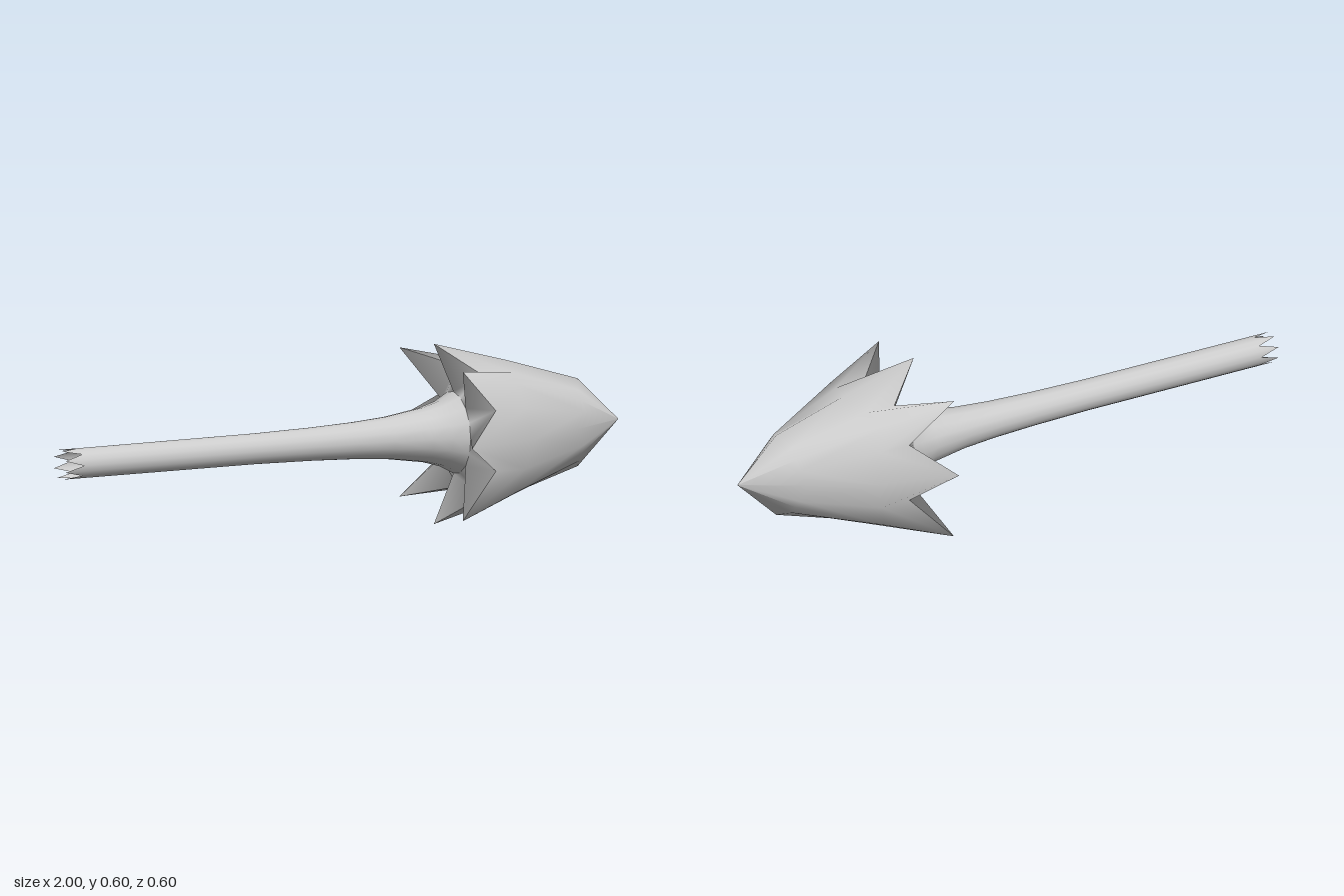
import * as THREE from 'three';

const SIDES = 16;
const AXIS_Y = 0.3;

// A closed loop of 16 points around the long axis; fn(i) gives [x, radius].
// Odd points sit at the slightly squared-off angle used by the head.
function loop(fn, squared = false) {
  const points = [];
  for (let i = 0; i < SIDES; i++) {
    const quarter = Math.floor(i / 4) * Math.PI / 2;
    const lean = squared ? Math.atan2(0.1, 0.2) : Math.PI / 8;
    const angle = quarter + [0, lean, Math.PI / 4, Math.PI / 2 - lean][i % 4];
    const [x, r] = fn(i);
    points.push(new THREE.Vector3(x, r * Math.cos(angle), r * Math.sin(angle)));
  }
  return points;
}

// Skin a list of loops, ordered from the butt towards the point.
function skin(loops) {
  const positions = loops.flatMap(l => l.flatMap(p => p.toArray()));
  const index = [];
  for (let k = 0; k < loops.length - 1; k++) {
    for (let i = 0; i < SIDES; i++) {
      const j = (i + 1) % SIDES;
      const a = k * SIDES + i, b = k * SIDES + j;
      const c = a + SIDES, d = b + SIDES;
      // mirror the diagonal so every spike is symmetrical
      if (i % 2) index.push(a, b, c, b, d, c);
      else index.push(a, b, d, a, d, c);
    }
  }
  const geometry = new THREE.BufferGeometry();
  geometry.setAttribute('position', new THREE.Float32BufferAttribute(positions, 3));
  geometry.setIndex(index);
  geometry.computeVertexNormals();
  return geometry;
}

export function createModel() {
  const group = new THREE.Group();
  const material = new THREE.MeshStandardMaterial({ color: 0xcccccc, side: THREE.DoubleSide });
  const add = (name, geometry) => {
    const mesh = new THREE.Mesh(geometry, material);
    mesh.name = name;
    mesh.position.y = AXIS_Y;
    group.add(mesh);
  };

  // Shaft: toothed open butt, then a slim tube flaring into the head
  const butt = loop(i => [i % 2 ? -1 : -0.935, 0.05]);
  const profile = [[-0.9, 0.05], [-0.3, 0.051], [-0.1, 0.055], [0.05, 0.061],
    [0.17, 0.07], [0.3, 0.09], [0.36, 0.108], [0.41, 0.135]];
  const shaft = profile.map(p => loop(() => p));
  add('shaft', skin([butt, ...shaft]));

  // Head: eight backswept spikes, a broad shoulder, and a wedge-shaped nose
  const spikes = loop(i => [[0.34, 0.298], [0.47, 0.224], [0.33, 0.349], [0.47, 0.224]][i % 4], true);
  const shoulder = loop(i => [[0.6, 0.225], [0.575, 0.226], [0.55, 0.255], [0.575, 0.226]][i % 4], true);
  const nose = loop(i => {
    if (i % 8 === 0) return [0.855, 0.145];
    if (i % 8 === 4) return [0.8, 0.116];
    return [0.83, i % 8 === 1 || i % 8 === 7 ? 0.132 : 0.122];
  }, true);
  const point = loop(() => [1, 0.0005]);
  add('head', skin([spikes, shoulder, nose, point]));

  // Inner side of the spikes, joining them to the flare of the shaft
  add('spikeUnderside', skin([shaft[shaft.length - 1], spikes]));

  return group;
}
